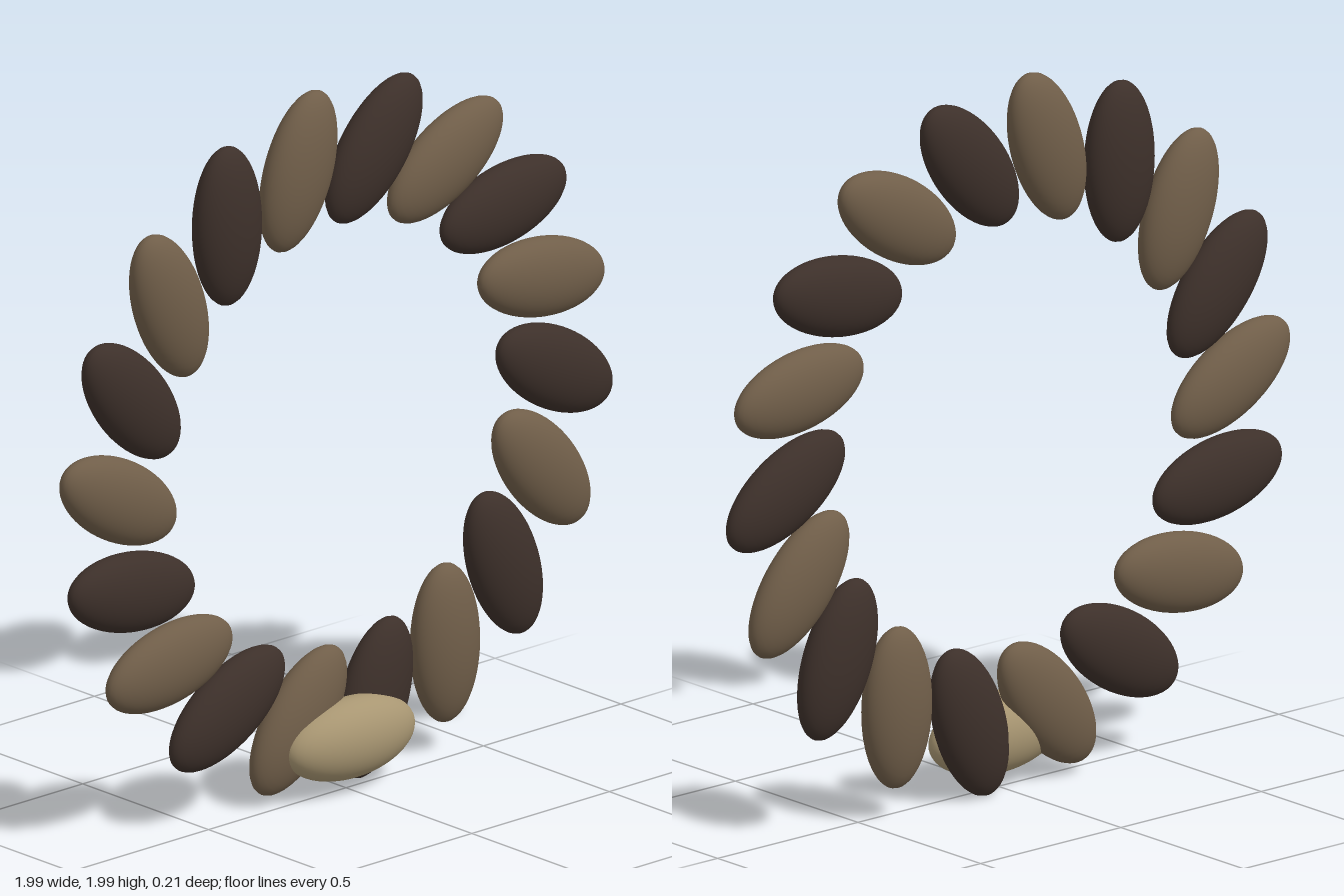
import * as THREE from 'three';

export function createModel() {
  const group = new THREE.Group();
  const darkBrown = new THREE.MeshStandardMaterial({ color: 0x3d302a });
  const lightBrown = new THREE.MeshStandardMaterial({ color: 0x705e49 });
  const tan = new THREE.MeshStandardMaterial({ color: 0xa89672 });
  const sphere = new THREE.SphereGeometry(1, 40, 28);

  function ellipsoid(name, material, size, position, roll = 0) {
    const mesh = new THREE.Mesh(sphere, material);
    mesh.name = name;
    mesh.scale.set(...size);
    mesh.position.set(...position);
    mesh.rotation.z = roll;
    group.add(mesh);
  }

  // Ring of flattened leaves, alternating in colour, each leaning off the radius
  const count = 18, radius = 0.793, centreY = 1.004, lean = -0.51;
  for (let i = 0; i < count; i++) {
    const a = (i / count) * Math.PI * 2;
    ellipsoid('leaf', i % 2 ? lightBrown : darkBrown, [0.226, 0.112, 0.0675],
      [radius * Math.cos(a) - 0.002, centreY + radius * Math.sin(a), -0.0375], a + lean);
  }

  // Knot lying across the front at the bottom
  ellipsoid('knot', tan, [0.225, 0.1125, 0.09], [-0.002, 0.155, 0.015]);

  return group;
}
